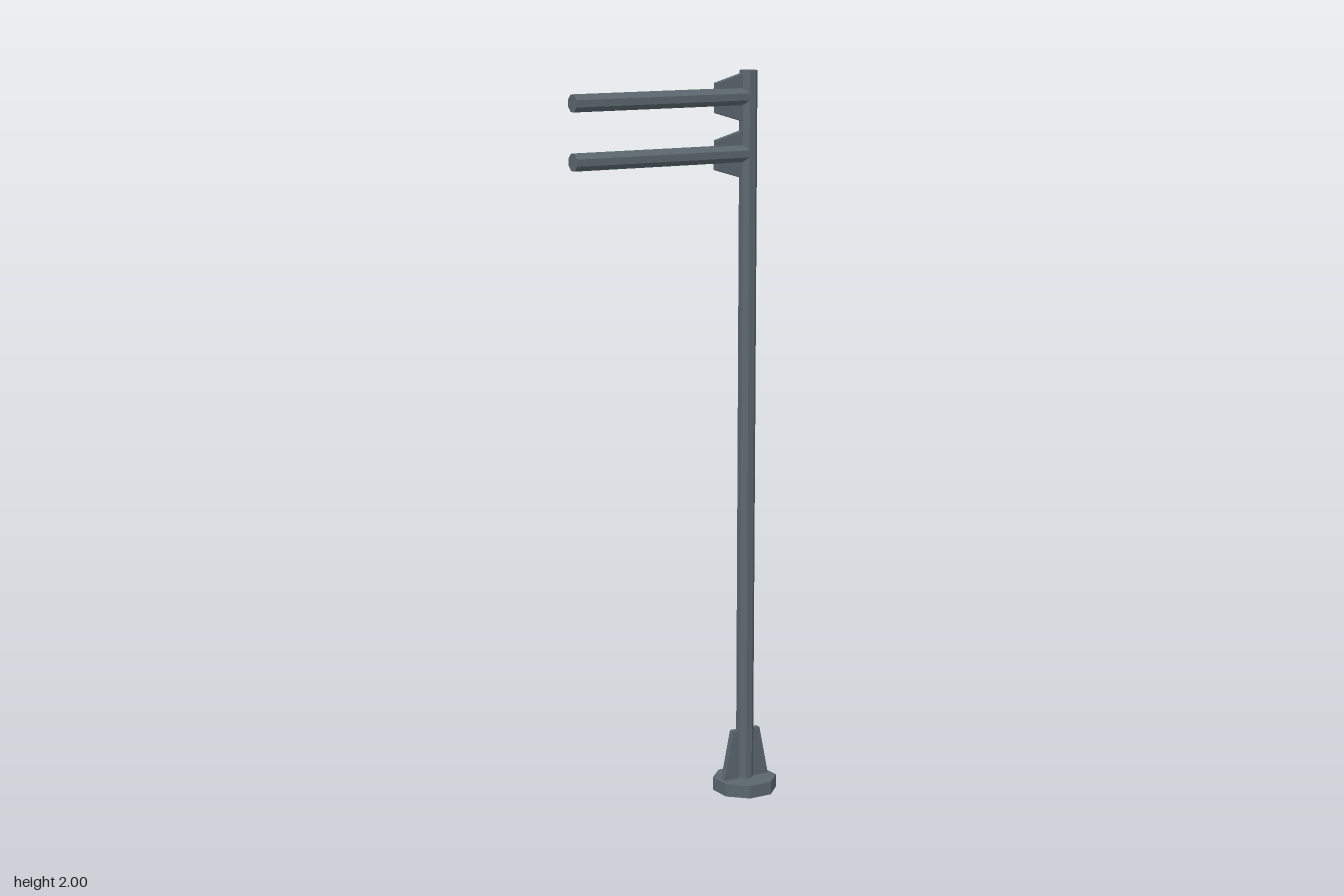
import * as THREE from 'three';

const POLE_X = 0.225;

export function createModel() {
  const model = new THREE.Group();
  const steel = new THREE.MeshStandardMaterial({ color: 0x5a666d, flatShading: true });
  steel.name = 'greySteel';

  const add = (name, geometry, x, y) => {
    const mesh = new THREE.Mesh(geometry, steel);
    mesh.name = name;
    mesh.position.set(x, y, 0);
    model.add(mesh);
  };

  // Octagonal bar with flat sides facing the axes
  const octagon = (apothem, length) => {
    const r = apothem / Math.cos(Math.PI / 8);
    return new THREE.CylinderGeometry(r, r, length, 8).rotateY(Math.PI / 8);
  };

  // Upright plate, centred on z
  const plate = (points, thickness) => {
    const shape = new THREE.Shape(points.map(([x, y]) => new THREE.Vector2(x, y)));
    return new THREE.ExtrudeGeometry(shape, { depth: thickness, bevelEnabled: false })
      .translate(0, 0, -thickness / 2);
  };

  // Base and pole
  add('basePlate', octagon(0.083, 0.036), POLE_X, 0.018);
  add('pole', octagon(0.0225, 1.97), POLE_X, 1.015);

  // Tapered fins either side of the pole foot
  for (const side of [-1, 1]) {
    const points = [[0.01, 0.03], [0.073, 0.03], [0.043, 0.175], [0.01, 0.175]]
      .map(([x, y]) => [side * x, y]);
    add(side < 0 ? 'rightFootFin' : 'leftFootFin', plate(points, 0.018), POLE_X, 0);
  }

  // Two arms with tapered brackets
  [1.931, 1.78].forEach((y, i) => {
    const level = i === 0 ? 'upper' : 'lower';
    add(level + 'Arm', octagon(0.0225, 0.523).rotateZ(Math.PI / 2), -0.0465, y);
    const points = [[-0.102, -0.041], [-0.01, -0.068], [-0.01, 0.064], [-0.102, 0.038]];
    add(level + 'ArmBracket', plate(points, 0.018), POLE_X, y);
  });

  return model;
}
